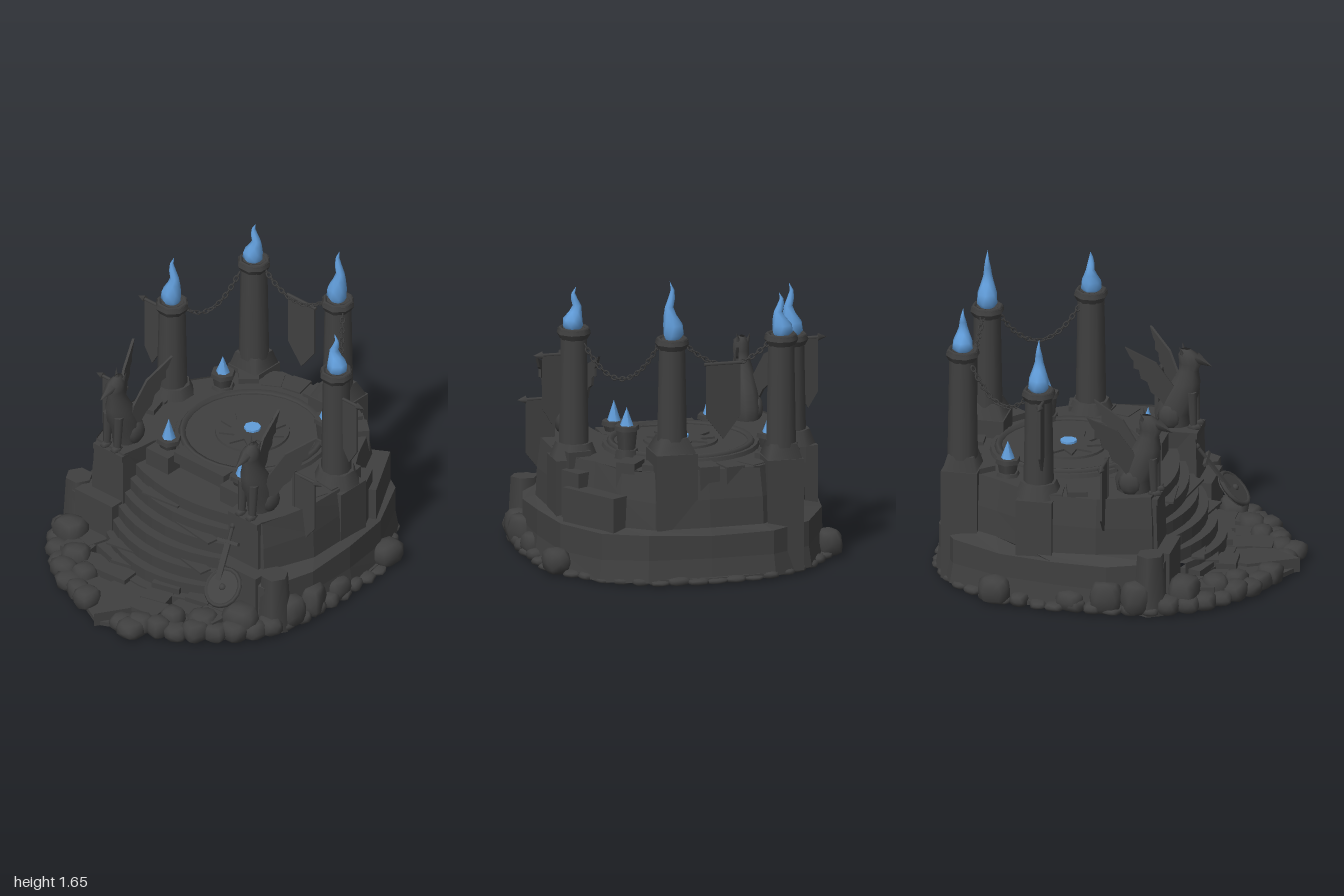
import * as THREE from 'three';
import { mergeVertices } from 'three/addons/utils/BufferGeometryUtils.js';

const stone = new THREE.MeshStandardMaterial({ color: 0x404040, side: THREE.DoubleSide });
stone.name = 'dark stone';
const fire = new THREE.MeshStandardMaterial({ color: 0x619dda, side: THREE.DoubleSide });
fire.name = 'blue flame';

let seed = 7;
const rnd = (a = 0, b = 1) => {
  seed = (seed * 16807) % 2147483647;
  return a + (b - a) * seed / 2147483647;
};

export function createModel() {
  const root = new THREE.Group();
  root.name = 'ruinedShrine';

  const add = (name, geo, pos = [0, 0, 0], rot = [0, 0, 0], parent = root, mat = stone) => {
    const m = new THREE.Mesh(geo, mat);
    m.name = name;
    m.position.set(...pos);
    m.rotation.set(...rot);
    parent.add(m);
    return m;
  };
  const box = (name, x, y0, y1, z, w, d, ry = 0) =>
    add(name, new THREE.BoxGeometry(w, y1 - y0, d), [x, (y0 + y1) / 2, z], [0, ry, 0]);
  const drum = (name, x, z, y0, y1, r0, r1, n = 8) =>
    add(name, new THREE.CylinderGeometry(r1, r0, y1 - y0, n), [x, (y0 + y1) / 2, z], [0, Math.PI / n, 0]);

  // Surface through rows of equal point counts, listed from bottom to top
  const loft = (rows, closed = true) => {
    const n = rows[0].length, idx = [];
    for (let i = 0; i < rows.length - 1; i++) for (let j = 0; j < (closed ? n : n - 1); j++) {
      const a = i * n + j, b = i * n + (j + 1) % n;
      idx.push(a, b, a + n, b, b + n, a + n);
    }
    const g = new THREE.BufferGeometry();
    g.setAttribute('position', new THREE.Float32BufferAttribute(rows.flat(2), 3));
    g.setIndex(idx);
    g.computeVertexNormals();
    return g;
  };
  const faceted = (geo) => {
    const g = geo.toNonIndexed();
    g.computeVertexNormals();
    return g;
  };
  const oval = (x, y, z, rx, rz, n = 8, turn = 0) => Array.from({ length: n }, (_, j) => {
    const a = j / n * Math.PI * 2 + turn;
    return [x + rx * Math.cos(a), y, z - rz * Math.sin(a)];
  });
  // Flat slab from [x, z] points between two heights; a single sheet if they are equal
  const slab = (pts, y0, y1, hole) => {
    const s = new THREE.Shape(pts.map(([x, z]) => new THREE.Vector2(x, -z)));
    if (hole) s.holes.push(new THREE.Path(hole.map(([x, z]) => new THREE.Vector2(x, -z))));
    const g = y1 > y0 ? new THREE.ExtrudeGeometry(s, { depth: y1 - y0, bevelEnabled: false }) : new THREE.ShapeGeometry(s);
    return g.rotateX(-Math.PI / 2).translate(0, y0, 0);
  };
  // Outline from its +x half, running front to back to front
  const mirror = (half) => [...half].reverse().concat(half.slice(1).map(([x, z]) => [-x, z]));

  // Ground rim, open under the hill
  const base = mirror([[0, -.97], [.3, -.94], [.55, -.8], [.75, -.55], [.8, -.25], [.8, .1], [.77, .35], [.64, .6], [.4, .8], [.2, .88], [.02, .97]]);
  add('groundRim', slab(base, .01, .035, oval(0, 0, -.12, .71, .76, 28).map(p => [p[0], p[2]])));

  // Two-tier hill wall, open at the stairs, and its floor
  const lower = mirror([[0, -.93], [.35, -.92], [.58, -.79], [.73, -.5], [.78, -.2], [.78, .1], [.7, .4], [.4, .42], [.39, .15]]);
  const upper = mirror([[0, -.89], [.3, -.87], [.46, -.74], [.56, -.55], [.71, -.32], [.72, .03], [.62, .32], [.4, .34], [.37, .1]]);
  const level = (pts, y, k = 1) => pts.map(([x, z]) => [x * k, y + rnd(-.012, .012), z * k]);
  add('hillWall', faceted(loft([level(lower, .015, 1.02), level(lower, .13), level(lower, .27), level(upper, .3, 1.01), level(upper, .45), level(upper, .61, .97)], false)));
  add('terraceFloor', slab(upper.map(([x, z]) => [x * .97, z * .97]), .61, .61));
  box('ledgeBlock', .53, .28, .47, -.6, .38, .2, -1.04);
  box('ledgeBlock', .6, .28, .55, -.44, .14, .16, -1.1);
  // Low parapet blocks round the terrace
  for (let i = 0; i < 17; i++) {
    const a = -.25 + i / 16 * (Math.PI + .5);
    if (![3, 4, 12, 13].includes(i)) box('parapetBlock', .62 * Math.cos(a), .5, rnd(.615, .655), -.24 - .57 * Math.sin(a), .13, .11, a + rnd(-.1, .1));
  }

  // Round dais with star and glowing heart
  const disc = (name, r, y0, y1, n = 28, mat = stone) =>
    add(name, new THREE.CylinderGeometry(r, r * 1.02, y1 - y0, n), [0, (y0 + y1) / 2, -.28], [0, 0, 0], root, mat);
  disc('dais', .42, .605, .632);
  add('daisRing', new THREE.TorusGeometry(.38, .022, 5, 28), [0, .63, -.28], [Math.PI / 2, 0, 0]);
  disc('rosette', .2, .625, .645);
  const star = Array.from({ length: 20 }, (_, i) => {
    const r = i % 2 ? .11 : .185, a = i * Math.PI / 10;
    return [r * Math.sin(a), r * Math.cos(a) - .28];
  });
  add('star', slab(star, .645, .656));
  disc('glowingHeart', .046, .655, .668, 8, fire);

  // Bowed stairs as one run of risers and treads
  const stairRows = [], steps = 7;
  const stairRow = (front, y, bow) => Array.from({ length: 9 }, (_, k) => {
    const t = k / 4 - 1;
    return [t * .4, y, front + bow * (1 - t * t)];
  });
  for (let i = 0; i < steps; i++) {
    const front = .5 - i * .045, y = .1 + i * .068, bow = .14 * (1 - i * .07);
    stairRows.push(stairRow(front, i ? y - .068 : .01, bow), stairRow(front, y, bow));
  }
  stairRows.push(stairRow(.09, .508, 0));
  add('stairs', faceted(loft(stairRows, false)));
  box('stairHead', 0, .575, .64, .105, .36, .1);
  box('stairHeadRiser', 0, .5, .61, .08, .74, .04);
  // Loose treads for a worn look
  for (const [x, i, w] of [[-.2, 1, .26], [.22, 2, .22], [.16, 4, .28], [-.12, 5, .24]])
    box('wornTread', x, .1 + i * .068, .112 + i * .068, .53 - i * .045, w, .07, -x * .9);

  // Front paving
  add('pointedFlagstone', slab([[-.15, .74], [0, 1], [.16, .74], [.1, .58], [-.1, .58]], .01, .09));
  for (let r = 0; r < 3; r++) for (const s of [-3, -2, -1, 1, 2, 3]) {
    const x = s * .16 + rnd(-.03, .03), z = .55 + r * .11 - Math.abs(s) * .025;
    if (Math.abs(x) < .72 - r * .16)
      box('flagstone', x, .005, rnd(.1, .14) - r * .018, z, rnd(.13, .17), rnd(.1, .14), rnd(-.3, .3));
  }

  // Boulders: worn round rocks resting on the ground
  const rock = (name, x, z, w, h, d) => {
    let g = new THREE.IcosahedronGeometry(1, 1);
    g.deleteAttribute('normal');
    g.deleteAttribute('uv');
    g = mergeVertices(g);
    const p = g.attributes.position;
    const boxy = (v, k) => Math.sign(v) * Math.pow(Math.abs(v), .7) * k * rnd(.9, 1.08) / 2;
    for (let i = 0; i < p.count; i++)
      p.setXYZ(i, boxy(p.getX(i), w), Math.max(boxy(p.getY(i), h) + h * .48, .004), boxy(p.getZ(i), d));
    g.computeVertexNormals();
    add(name, g, [x, 0, z], [0, rnd(-.5, .5), 0]);
  };
  const rim = new THREE.CatmullRomCurve3(base.map(([x, z]) => new THREE.Vector3(x, 0, z)), true, 'catmullrom', .3);
  rim.getSpacedPoints(54).slice(0, -1).forEach(({ x, z }) => {
    const h = z < -.4 ? rnd(.03, .05) : z < .4 ? rnd(.04, .09) : rnd(.08, .12), w = z < .4 ? 0 : .03;
    if (Math.abs(x) > .09 || z < 0) rock('rimStone', x * .985, z * .975, rnd(.1, .13) + w, h, rnd(.09, .12) + w);
  });
  rock('frontRock', .2, .92, .15, .1, .15);
  for (const s of [-1, 1]) {
    for (const [x, z, w, h, d] of [[.76, -.52, .15, .17, .18], [.78, -.1, .12, .13, .16], [.78, .1, .13, .18, .18], [.76, .26, .16, .2, .16], [.62, .5, .2, .18, .17], [.46, .63, .17, .15, .15], [.32, .72, .14, .13, .13]])
      rock('boulder', s * x, z, w, h * rnd(.85, 1.1), d);
    drum('standingStone', s * .71, .33, 0, .335, .095, .075, 6);
    box('wallBlock', s * .52, 0, .32, .36, .27, .13);
    // Statue pedestal
    add('statuePedestal', faceted(new THREE.CylinderGeometry(.148, .17, .6, 4).rotateY(Math.PI / 4).scale(1, 1, 1.3)), [s * .49, .3, .2]);
    box('pedestalCap', s * .49, .57, .605, .2, .21, .29);
  }

  // Flame: rings swaying to a point
  const flame = (x, y, z, h, r, flip = 1) => {
    const prof = [[.55, 0, 0], [1, -.12, .12], [.95, -.1, .28], [.62, .18, .45], [.42, .3, .58], [.34, .05, .72], [.18, -.05, .86], [.01, .22, 1]];
    add('flame', loft(prof.map(([k, o, t], i) => oval(x + o * r * flip, y + t * h, z, r * k, r * k, 7, i * .25))), [0, 0, 0], [0, 0, 0], root, fire);
  };

  // Columns with buttress, base, shaft, collar and flame
  for (const [x, z, top, tip, ped, w, f] of [[-.43, -.77, 1.32, 1.55, .7, .2, 1], [.18, -.77, 1.335, 1.65, .77, .23, 1], [-.61, -.31, 1.195, 1.48, .65, .2, 1], [.6, -.29, 1.305, 1.53, .65, .2, -1]]) {
    const back = z < -.5;
    box('buttress', x * (back ? 1 : 1.04), .02, ped - .06, z, w, w);
    drum('columnBase', x, z, ped - .06, ped + .02, w * .66, .1, back ? 4 : 8);
    drum('columnShaft', x, z, ped, top - .05, .083, .073, 10);
    drum('columnCollar', x, z, top - .06, top - .03, .076, .093, 8);
    drum('columnRim', x, z, top - .03, top - .005, .093, .088, 8);
    add('bowlRim', new THREE.TorusGeometry(.075, .014, 5, 8), [x, top - .008, z], [Math.PI / 2, 0, Math.PI / 8]);
    flame(x, top - .02, z, tip - top + .02, .057, f);
  }

  // Fire pots
  for (const [x, z, y0, y1, tip] of [[-.265, .1, .6, .67, .79], [.27, .1, .6, .67, .785], [-.43, -.52, .6, .71, .81], [.355, -.48, .63, .79, .89]]) {
    if (z > 0) box('potPlinth', x, .46, .612, z + .01, .16, .17);
    else drum('potFoot', x, z, .6, y0 + .03, .07, .06, 6);
    drum('potBowl', x, z, y0, y1 - .02, .045, .06, 6);
    drum('potRim', x, z, y1 - .025, y1, .07, .067, 6);
    add('potFlame', new THREE.ConeGeometry(.038, tip - y1, 6), [x, (tip + y1) / 2, z], [0, 0, 0], root, fire);
  }

  // Banners with pointed tails; side ones hang from finialled poles
  const banner = (x, y, z, w, side, tip) => {
    const s = new THREE.Shape([[-w / 2, 0], [-w / 2, -side], [0, -tip], [w / 2, -side], [w / 2, 0]].map(p => new THREE.Vector2(...p)));
    add('banner', new THREE.ExtrudeGeometry(s, { depth: .012, bevelEnabled: false }), [x, y, z - .006]);
  };
  banner(-.1, 1.185, -.79, .19, .3, .425);
  add('bannerBar', new THREE.CylinderGeometry(.01, .01, .21, 6), [-.1, 1.18, -.79], [0, 0, Math.PI / 2]);
  for (const s of [-1, 1]) for (const [x, y, z, w] of [[.715, 1.155, -.27, .11], [.7, .825, .07, .14]]) {
    banner(s * x, y, z, w, .3, .39);
    add('bannerPole', new THREE.CylinderGeometry(.009, .009, .2, 6), [s * .69, y, z], [0, 0, Math.PI / 2]);
    add('poleFinial', new THREE.ConeGeometry(.022, .05, 4), [s * .795, y, z], [0, 0, -s * Math.PI / 2]);
    if (z > 0) box('poleSupport', s * .62, .58, .84, z, .02, .02);
  }

  // Hanging chains of alternating links
  const chain = (a, b, sag) => {
    const A = new THREE.Vector3(...a), B = new THREE.Vector3(...b);
    const M = A.clone().lerp(B, .5);
    M.y -= sag * 2;
    const c = new THREE.QuadraticBezierCurve3(A, M, B), n = Math.round(c.getLength() / .027);
    for (let i = 0; i <= n; i++) {
      const link = add('chainLink', new THREE.TorusGeometry(.012, .0042, 4, 8).scale(1.5, 1, 1));
      link.position.copy(c.getPointAt(i / n));
      link.quaternion.setFromUnitVectors(new THREE.Vector3(1, 0, 0), c.getTangentAt(i / n));
      link.rotateX(i % 2 * Math.PI / 2 + .4);
    }
  };
  chain([-.35, 1.27, -.78], [.1, 1.29, -.78], .11);
  chain([.25, 1.28, -.73], [.55, 1.21, -.35], .18);
  chain([-.48, 1.23, -.7], [-.59, 1.13, -.38], .12);

  // Seated winged guardians
  const wingShape = new THREE.Shape([[.0, .12], [.03, .25], [.12, .38], [.29, .47], [.26, .41], [.245, .395], [.245, .35], [.215, .34], [.205, .29], [.17, .27], [.15, .21], [.11, .18], [.07, .12]].map(p => new THREE.Vector2(...p)));
  for (const s of [-1, 1]) {
    const g = new THREE.Group();
    g.name = 'wingedGuardian';
    g.position.set(s * .49, .6, .2);
    root.add(g);
    const spine = [[0, -.01, .07, .09], [.08, -.015, .082, .1], [.18, .03, .072, .1], [.26, .06, .062, .08], [.33, .075, .042, .055], [.37, .085, .045, .062], [.42, .075, .042, .058], [.45, .06, .015, .025]];
    add('body', loft(spine.map(([y, z, rx, rz]) => oval(0, y, z, rx, rz, 10))), [0, 0, 0], [0, 0, 0], g);
    add('beak', new THREE.ConeGeometry(.036, .1, 6), [0, .38, .16], [Math.PI / 2 + .45, 0, 0], g);
    for (const k of [-1, 1]) {
      const outer = k === s;
      add('ear', new THREE.ConeGeometry(.014, .06, 4), [k * .03, .445, .04], [-.25, 0, -k * .25], g);
      add('foreleg', new THREE.CylinderGeometry(.028, .02, .21, 6), [k * .038, .11, .105], [-.05, 0, 0], g);
      add('forefoot', new THREE.SphereGeometry(.028, 6, 4).scale(1, .7, 1.5), [k * .038, .015, .115], [0, 0, 0], g);
      add('haunch', new THREE.SphereGeometry(.06, 8, 6).scale(.65, 1.2, 1.1), [k * .055, .07, -.02], [0, 0, 0], g);
      const wing = new THREE.ExtrudeGeometry(wingShape, { depth: .014, bevelEnabled: false }).rotateY(Math.PI / 2);
      add('wing', wing, [k * .045, 0, .03], [0, -k * (outer ? (s > 0 ? .7 : .42) : .2), 0], g);
    }
  }

  // Fallen shield and sword beside the stairs
  const shield = new THREE.Group();
  shield.name = 'shield';
  shield.position.set(.51, .25, .52);
  shield.rotation.set(.8, 0, 0);
  root.add(shield);
  add('shieldFace', new THREE.CylinderGeometry(.095, .11, .025, 14), [0, 0, 0], [0, 0, 0], shield);
  add('shieldRim', new THREE.TorusGeometry(.104, .013, 5, 16), [0, .006, 0], [Math.PI / 2, 0, 0], shield);
  add('shieldBoss', new THREE.SphereGeometry(.02, 8, 5), [0, .012, 0], [0, 0, 0], shield);
  const sword = new THREE.Group();
  sword.name = 'sword';
  sword.position.set(.43, .43, .4);
  sword.rotation.set(-.6, 0, .15);
  root.add(sword);
  add('blade', new THREE.BoxGeometry(.035, .28, .012), [0, -.13, 0], [0, 0, 0], sword);
  add('crossguard', new THREE.BoxGeometry(.14, .018, .022), [0, .02, 0], [0, 0, 0], sword);
  add('grip', new THREE.CylinderGeometry(.011, .011, .08, 6), [0, .065, 0], [0, 0, 0], sword);
  add('pommel', new THREE.SphereGeometry(.018, 6, 4), [0, .11, 0], [0, 0, 0], sword);

  return root;
}
